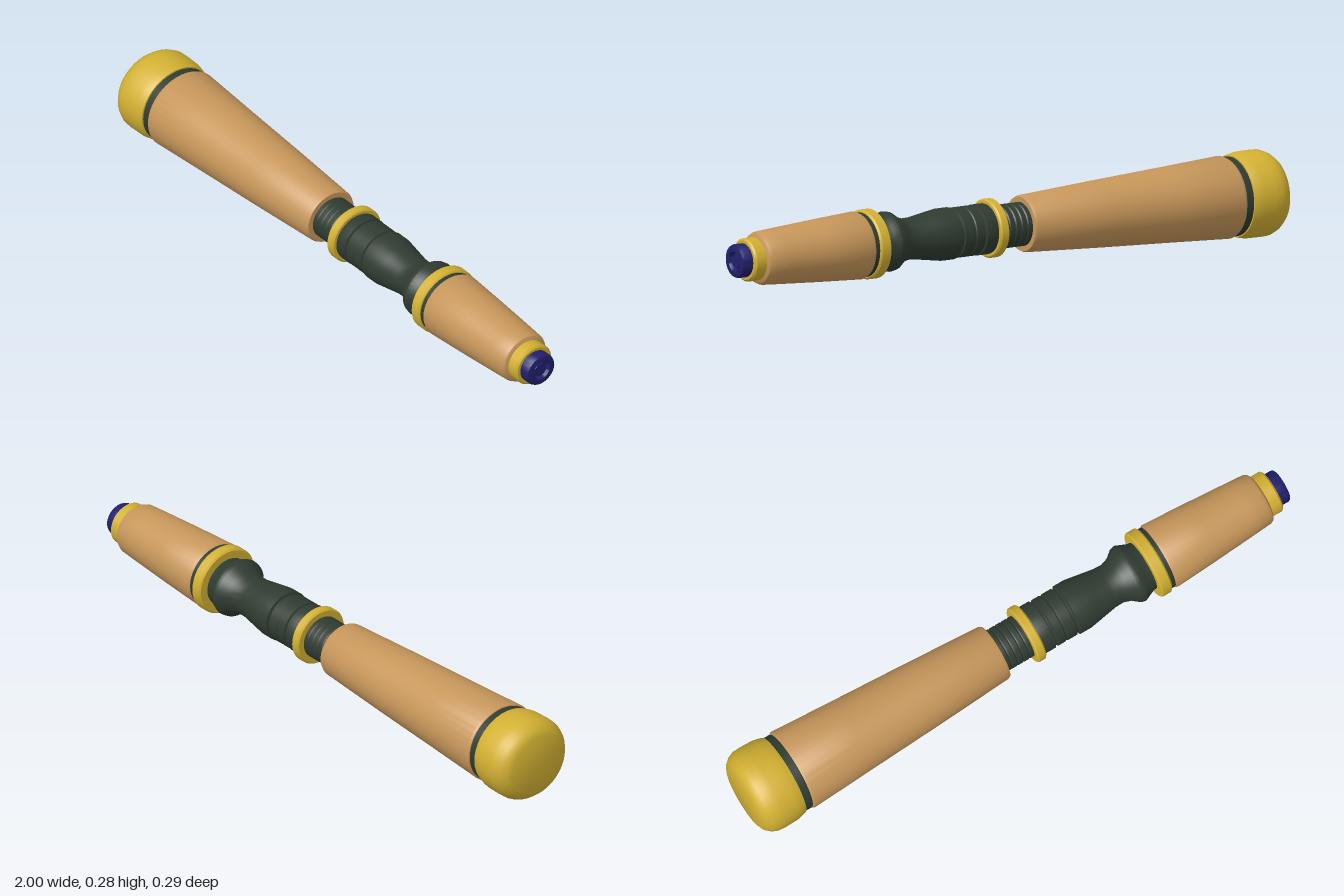
import * as THREE from 'three';
import { toCreasedNormals } from 'three/addons/utils/BufferGeometryUtils.js';

const material = (name, color) => {
  const m = new THREE.MeshStandardMaterial({ color });
  m.name = name;
  return m;
};

export function createModel() {
  const brass = material('brass yellow', 0xd2b032);
  const wood = material('light wood', 0xc6965a);
  const dark = material('dark green metal', 0x2f3b31);
  const blue = material('deep blue', 0x201f6b);

  const model = new THREE.Group();
  model.name = 'handle';
  const axisHeight = 0.139;

  // Turned part along x from [x, radius] pairs, slightly wider in z than in y
  const turned = (name, mat, profile) => {
    const points = profile.map(([x, r]) => new THREE.Vector2(r, x));
    const geometry = new THREE.LatheGeometry(points, 40);
    geometry.rotateZ(-Math.PI / 2);
    geometry.scale(1, 1, 1.05);
    const mesh = new THREE.Mesh(toCreasedNormals(geometry, 0.6), mat);
    mesh.name = name;
    mesh.position.y = axisHeight;
    model.add(mesh);
  };

  // Plain ring with small bevels, closed at both ends
  const ring = (name, mat, x0, x1, r, bevel = 0.005) => turned(name, mat, [
    [x0, 0], [x0, r - bevel], [x0 + bevel, r], [x1 - bevel, r], [x1, r - bevel], [x1, 0],
  ]);

  // Rounded end cap and its band
  turned('pommel', brass, [
    [-1, 0], [-1, 0.1], [-0.992, 0.116], [-0.975, 0.13], [-0.955, 0.138],
    [-0.93, 0.139], [-0.885, 0.138], [-0.865, 0.134], [-0.852, 0.13], [-0.852, 0],
  ]);
  ring('pommelBand', dark, -0.855, -0.822, 0.127);

  // Long tapered wooden body
  turned('longWoodSleeve', wood, [
    [-0.825, 0], [-0.825, 0.128], [-0.818, 0.132], [-0.6, 0.12], [-0.35, 0.107],
    [-0.075, 0.091], [-0.066, 0.087], [-0.066, 0],
  ]);

  // Neck with fine ribs
  const neck = [[-0.07, 0]];
  for (let i = 0; i < 5; i++) {
    const x = -0.07 + i * 0.022;
    neck.push([x, 0.067], [x + 0.004, 0.07], [x + 0.018, 0.07], [x + 0.022, 0.067]);
  }
  neck.push([0.045, 0.067], [0.045, 0]);
  turned('neck', dark, neck);
  ring('narrowBrassRing', brass, 0.034, 0.066, 0.094);

  // Grip: two grooved collars, a waist and a flared bulge
  turned('grip', dark, [
    [0.06, 0], [0.06, 0.078], [0.07, 0.081], [0.107, 0.081], [0.11, 0.074], [0.116, 0.074],
    [0.119, 0.08], [0.145, 0.08], [0.148, 0.077], [0.152, 0.077], [0.155, 0.08],
    [0.188, 0.08], [0.191, 0.074], [0.197, 0.074], [0.2, 0.083], [0.24, 0.083],
    [0.29, 0.075], [0.34, 0.067], [0.37, 0.066], [0.395, 0.074], [0.42, 0.093],
    [0.435, 0.096], [0.455, 0.088], [0.475, 0.08], [0.49, 0.08], [0.49, 0],
  ]);

  // Wide ring and seam before the short sleeve
  ring('wideBrassRing', brass, 0.483, 0.523, 0.111);
  ring('sleeveSeam', dark, 0.52, 0.545, 0.103, 0.002);

  // Short tapered wooden sleeve
  turned('shortWoodSleeve', wood, [
    [0.538, 0], [0.538, 0.104], [0.546, 0.108], [0.7, 0.099], [0.85, 0.089],
    [0.905, 0.085], [0.916, 0.08], [0.922, 0.07], [0.922, 0],
  ]);

  // Brass collar and blue tip with a grooved centre
  ring('tipCollar', brass, 0.915, 0.963, 0.069, 0.006);
  turned('blueTip', blue, [
    [0.955, 0], [0.955, 0.054], [0.99, 0.054], [0.997, 0.051], [1, 0.045],
    [1, 0.032], [0.994, 0.028], [0.985, 0.026], [0.985, 0.024], [0.994, 0.022], [0.994, 0],
  ]);

  return model;
}
